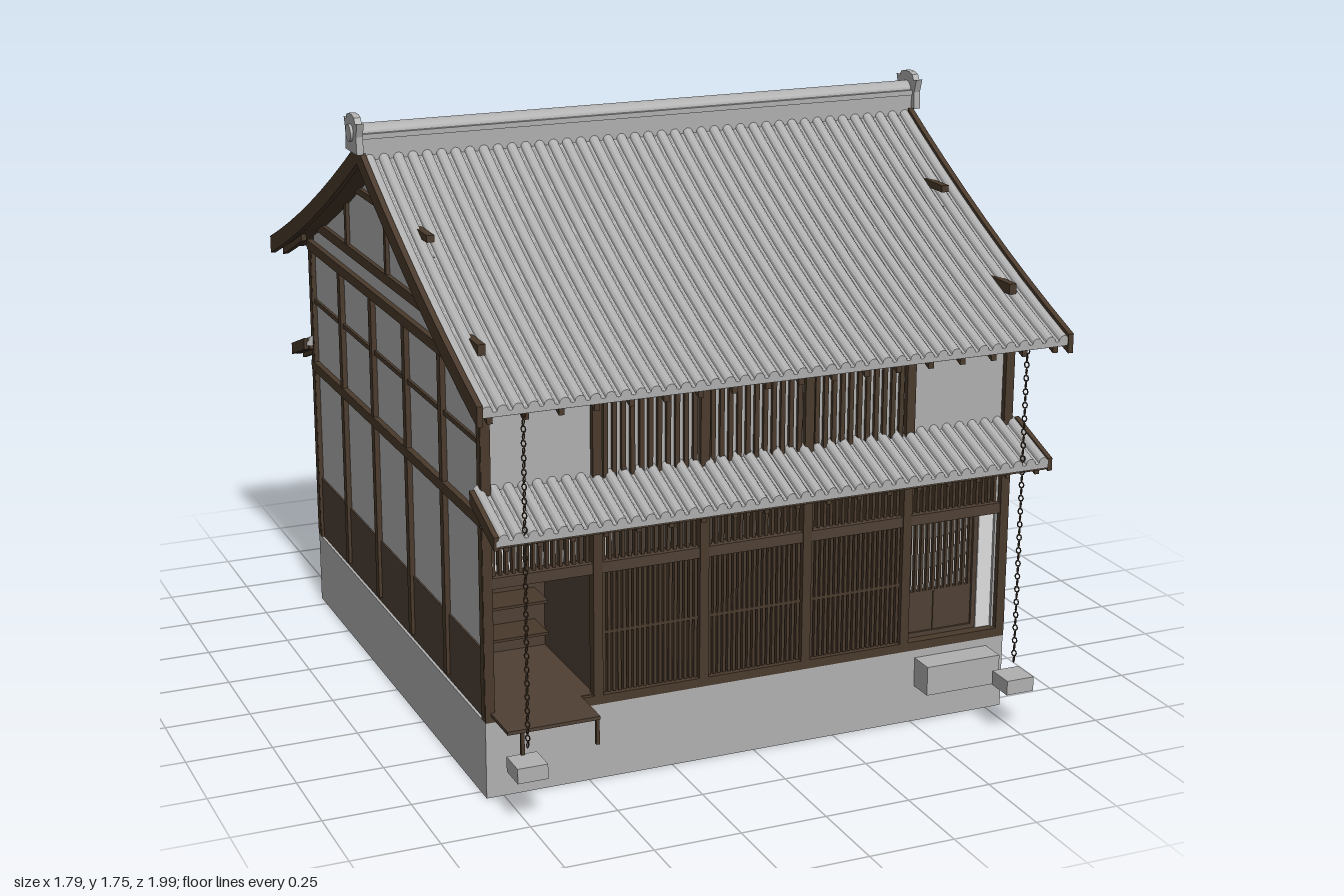
import * as THREE from 'three';

const mat = (name, color) => { const m = new THREE.MeshStandardMaterial({ color }); m.name = name; return m; };

export function createModel() {
  const wood = mat('darkWood', 0x4a3a2c), panel = mat('panelWood', 0x4f4034);
  const plaster = mat('plaster', 0xb0b0b0), stone = mat('stone', 0xb1b1b1);
  const tile = mat('roofTile', 0xafafaf), paper = mat('paper', 0xdedede);

  const root = new THREE.Group(), house = new THREE.Group();
  root.name = 'townhouse'; house.name = 'house';
  house.position.z = -0.005;
  root.add(house);
  const group = (name, parent = house) => { const g = new THREE.Group(); g.name = name; parent.add(g); return g; };
  const add = (parent, name, geo, m) => { const o = new THREE.Mesh(geo, m); o.name = name; parent.add(o); return o; };

  // Box given by its limits
  const box = (p, name, m, x0, x1, y0, y1, z0, z1) => add(p, name,
    new THREE.BoxGeometry(x1 - x0, y1 - y0, z1 - z0).translate((x0 + x1) / 2, (y0 + y1) / 2, (z0 + z1) / 2), m);

  // Evenly spaced vertical and horizontal bars filling an opening
  const bars = (p, name, m, x0, x1, y0, y1, z0, z1, nx, ny, t) => {
    const g = group(name, p);
    for (let i = 0; i < nx; i++) {
      const x = x0 + (x1 - x0) * (i + 0.5) / nx;
      box(g, 'upright', m, x - t / 2, x + t / 2, y0, y1, z0, z1);
    }
    for (let j = 1; j <= ny; j++) {
      const y = y0 + (y1 - y0) * j / (ny + 1);
      box(g, 'rail', m, x0, x1, y - t / 2, y + t / 2, z0, z1);
    }
  };
  const frame = (p, name, m, x0, x1, y0, y1, z0, z1, t) => {
    const g = group(name, p);
    box(g, 'leftStile', m, x0, x0 + t, y0, y1, z0, z1);
    box(g, 'rightStile', m, x1 - t, x1, y0, y1, z0, z1);
    box(g, 'topRail', m, x0, x1, y1 - t, y1, z0, z1);
    box(g, 'bottomRail', m, x0, x1, y0, y0 + t, z0, z1);
  };

  // Cross-section swept along z, following the roof height f(z)
  const strip = (p, name, m, pts, z0, z1, f, steps) => {
    const shape = new THREE.Shape(pts.map(a => new THREE.Vector2(a[0], a[1])));
    const geo = new THREE.ExtrudeGeometry(shape, { depth: z1 - z0, steps, bevelEnabled: false });
    const pos = geo.attributes.position;
    for (let i = 0; i < pos.count; i++) {
      const z = pos.getZ(i) + z0;
      pos.setXYZ(i, pos.getX(i), pos.getY(i) + f(z), z);
    }
    geo.computeVertexNormals();
    return add(p, name, geo, m);
  };
  const rect = (x0, x1, y0, y1) => [[x0, y0], [x1, y0], [x1, y1], [x0, y1]];
  // Row of rounded tile rolls between shallow troughs
  const tileSection = (half, n, base, low, high) => {
    const pts = [[-half, base], [half, base]], w = 2 * half / n;
    for (let i = n - 1; i >= 0; i--) {
      const c = -half + (i + 0.5) * w;
      pts.push([c + w * 0.49, low]);
      for (let k = 0; k <= 6; k++) {
        const a = Math.PI * k / 6;
        pts.push([c + Math.cos(a) * w * 0.36, low + 0.002 + Math.sin(a) * (high - low)]);
      }
      pts.push([c - w * 0.49, low]);
    }
    return pts;
  };

  const grid = [-0.787, -0.472, -0.157, 0.157, 0.472, 0.787];
  const roofY = z => 1.66 - 0.593 * z + 0.105 * z * z;
  const pentY = z => 0.885 - 0.367 * (z - 0.8);

  // Foundation: hollow skirt with a slab on top
  const base = group('foundation');
  for (const s of [-1, 1]) {
    box(base, 'foundationSide', stone, s > 0 ? 0.785 : -0.8, s > 0 ? 0.8 : -0.785, 0, 0.222, -0.8, 0.8);
    box(base, 'foundationEnd', stone, -0.785, 0.785, 0, 0.222, s > 0 ? 0.785 : -0.8, s > 0 ? 0.8 : -0.785);
  }
  box(base, 'floorSlab', stone, -0.79, 0.79, 0.19, 0.222, -0.79, 0.79);

  // Gable side walls, right one built and left one turned round
  for (const turn of [0, Math.PI]) {
    const side = group('gableSide');
    side.rotation.y = turn;
    const g = [[-0.785, 0.222], [0.785, 0.222]];
    for (const z of [0.785, 0.4, 0, -0.4, -0.785]) g.push([z, roofY(Math.abs(z)) - 0.045]);
    const wall = new THREE.ExtrudeGeometry(new THREE.Shape(g.map(a => new THREE.Vector2(...a))), { depth: 0.02, bevelEnabled: false });
    add(side, 'gableWall', wall.rotateY(-Math.PI / 2).translate(0.787, 0, 0), plaster);
    box(side, 'wainscot', panel, 0.78, 0.792, 0.222, 0.42, -0.785, 0.785);
    for (const z of grid) box(side, 'post', wood, 0.775, 0.802, 0.24, 1.18, z - 0.0135, z + 0.0135);
    box(side, 'wallPlate', wood, 0.77, 0.804, 1.17, 1.2, -0.805, 0.805);
    box(side, 'floorBeam', wood, 0.77, 0.804, 0.78, 0.81, -0.8, 0.8);
    box(side, 'tieRail', wood, 0.78, 0.795, 1, 1.014, -0.785, 0.785);
    box(side, 'lowerGableBeam', wood, 0.778, 0.8, 1.25, 1.28, -0.795, 0.795);
    box(side, 'upperGableBeam', wood, 0.778, 0.8, 1.46, 1.48, -0.395, 0.395);
    for (const [z, top] of [[-0.39, 1.42], [0, 1.61], [0.39, 1.42]])
      box(side, 'gableStrut', wood, 0.78, 0.798, 1.27, top, z - 0.01, z + 0.01);
  }

  // Roof slopes and pent roofs; the back half is the front half turned round
  const faces = [0, Math.PI].map((turn, i) => {
    const face = group(i ? 'backSide' : 'frontSide');
    face.rotation.y = turn;
    const roof = group('mainRoofSlope', face);
    strip(roof, 'roofTiles', tile, tileSection(0.865, 41, -0.034, -0.021, -0.006), 0, 0.985, roofY, 8);
    strip(roof, 'roofDeck', wood, rect(-0.86, 0.86, -0.045, -0.033), 0, 0.97, roofY, 8);
    for (const s of [-1, 1])
      strip(roof, 'bargeBoard', wood, rect(s * 0.864 - 0.008, s * 0.864 + 0.008, -0.055, 0), 0, 0.988, roofY, 8);
    for (let k = 0; k < 18; k++) {
      const x = -0.83 + 1.66 * k / 17;
      strip(roof, 'rafter', wood, rect(x - 0.008, x + 0.008, -0.066, -0.044), 0.74, 0.965, roofY, 3);
    }
    const end = i ? 0.94 : 0.977, pent = group('pentRoof', face);
    strip(pent, 'pentTiles', tile, tileSection(0.822, 40, -0.03, -0.016, 0), 0.78, end, pentY, 1);
    strip(pent, 'pentDeck', wood, rect(-0.815, 0.815, -0.042, -0.029), 0.78, end - 0.01, pentY, 1);
    for (const s of [-1, 1])
      strip(pent, 'pentEdge', wood, rect(s * 0.822 - 0.007, s * 0.822 + 0.007, -0.04, -0.003), 0.79, end, pentY, 1);
    for (let k = 0; k < 18; k++) {
      const x = -0.79 + 1.58 * k / 17;
      strip(pent, 'pentRafter', wood, rect(x - 0.007, x + 0.007, -0.056, -0.041), 0.78, end - 0.015, pentY, 1);
    }
    // Timber frame shared by both long walls
    for (const x of grid) box(face, 'post', wood, x - 0.0135, x + 0.0135, 0.24, 1.18, 0.772, 0.803);
    box(face, 'eaveBeam', wood, -0.8, 0.8, 1.12, 1.18, 0.77, 0.798);
    box(face, 'pentBeam', wood, -0.8, 0.8, 0.765, 0.8, 0.77, 0.804);
    box(face, 'sill', wood, -0.8, 0.8, 0.222, 0.248, 0.77, 0.803);
    box(face, 'upperWall', plaster, -0.785, 0.785, 0.78, 1.2, 0.765, 0.785);
    return face;
  });
  const [front, back] = faces;

  // Ridge with shaped end tiles
  const ridge = group('ridge');
  box(ridge, 'ridgeBase', tile, -0.87, 0.87, 1.62, 1.69, -0.034, 0.034);
  box(ridge, 'ridgeCourse', tile, -0.872, 0.872, 1.68, 1.695, -0.04, 0.04);
  add(ridge, 'ridgeCap', new THREE.CylinderGeometry(0.03, 0.03, 1.744, 12).rotateZ(Math.PI / 2).translate(0, 1.69, 0), tile);
  const half = [[0.054, 1.64], [0.05, 1.69], [0.063, 1.73], [0.045, 1.725], [0.035, 1.742], [0.015, 1.748]];
  const endShape = new THREE.Shape([...half, ...half.map(a => [-a[0], a[1]]).reverse()].map(a => new THREE.Vector2(...a)));
  for (const s of [-1, 1]) {
    const geo = new THREE.ExtrudeGeometry(endShape, { depth: 0.02, bevelEnabled: false });
    add(ridge, 'ridgeEndTile', geo.rotateY(-Math.PI / 2).translate(s * 0.876 + 0.01, 0, 0), tile);
    add(ridge, 'ridgeEndDisc', new THREE.CylinderGeometry(0.025, 0.025, 0.01, 16).rotateZ(Math.PI / 2).translate(s * 0.889, 1.695, 0), tile);
  }

  // Front ground floor: transom lattice above a lintel
  box(front, 'transomPaper', paper, -0.785, 0.785, 0.62, 0.78, 0.745, 0.755);
  box(front, 'lintel', panel, -0.79, 0.79, 0.603, 0.634, 0.75, 0.8);
  for (let i = 0; i < 5; i++)
    bars(front, 'transomLattice', wood, grid[i] + 0.014, grid[i + 1] - 0.014, 0.632, 0.768, 0.765, 0.785, 15, 0, 0.009);

  // Three lattice bays, with slatted windows above
  for (let i = 1; i < 4; i++) {
    const x0 = grid[i] + 0.0135, x1 = grid[i + 1] - 0.0135;
    box(front, 'latticePaper', paper, x0, x1, 0.24, 0.61, 0.715, 0.725);
    bars(front, 'innerLattice', wood, x0, x1, 0.25, 0.603, 0.735, 0.755, 17, 1, 0.009);
    bars(front, 'outerLattice', wood, x0, x1, 0.25, 0.603, 0.77, 0.792, 19, 1, 0.009);
    bars(front, 'upperLattice', wood, x0, x1, 0.86, 1.125, 0.78, 0.796, 11, 0, 0.013);
  }

  // Open alcove with shelves and a folding bench
  const alcove = group('alcove', front);
  box(alcove, 'alcoveFloor', panel, -0.785, -0.472, 0.222, 0.25, 0.4, 0.79);
  box(alcove, 'alcoveBackWall', panel, -0.785, -0.46, 0.24, 0.58, 0.39, 0.41);
  box(alcove, 'alcoveUpperBack', paper, -0.785, -0.46, 0.58, 0.62, 0.39, 0.41);
  box(alcove, 'alcoveInnerSide', panel, -0.48, -0.465, 0.222, 0.62, 0.4, 0.775);
  box(alcove, 'alcoveCeiling', panel, -0.785, -0.465, 0.612, 0.622, 0.39, 0.75);
  for (const [y, x] of [[0.426, -0.73], [0.33, -0.76], [0.575, -0.76]])
    box(alcove, 'shelf', wood, x, -0.51, y - 0.004, y + 0.004, 0.41, 0.52);
  const bench = group('bench', front);
  box(bench, 'benchSeat', panel, -0.785, -0.52, 0.24, 0.25, 0.79, 0.935);
  for (const x of [-0.74, -0.525]) box(bench, 'benchLeg', wood, x - 0.005, x + 0.005, 0.165, 0.242, 0.918, 0.928);

  // Entrance: half-lattice sliding door, side strip and step
  const door = group('entrance', front);
  box(door, 'doorPaper', paper, 0.485, 0.72, 0.38, 0.61, 0.74, 0.75);
  bars(door, 'doorLattice', wood, 0.495, 0.71, 0.385, 0.595, 0.752, 0.765, 11, 0, 0.009);
  frame(door, 'doorFrame', panel, 0.485, 0.72, 0.248, 0.606, 0.745, 0.772, 0.014);
  box(door, 'doorPanel', panel, 0.49, 0.715, 0.248, 0.385, 0.745, 0.765);
  box(door, 'doorSplit', wood, 0.582, 0.586, 0.25, 0.38, 0.764, 0.768);
  box(door, 'sideStrip', paper, 0.72, 0.775, 0.23, 0.605, 0.745, 0.776);
  box(front, 'stepStone', stone, 0.51, 0.745, 0.11, 0.197, 0.798, 0.878);

  // Rain chains hanging over drain stones
  for (const s of [-1, 1]) {
    const chain = group('rainChain', front);
    for (let k = 0; k < 48; k++) {
      const link = add(chain, 'chainLink', new THREE.TorusGeometry(0.0065, 0.002, 4, 8), wood);
      link.position.set(s * 0.74, 1.135 - k * 0.0195, 0.965);
      link.scale.y = 1.3;
      link.rotation.y = k % 2 ? Math.PI / 4 : -Math.PI / 4;
    }
    box(front, 'drainStone', stone, s * 0.741 - 0.043, s * 0.741 + 0.043, 0.13, 0.173, 0.92, 1.005);
  }

  // Back wall with paper door, plank door and small upper window
  box(back, 'backWall', plaster, -0.785, 0.785, 0.222, 0.79, 0.765, 0.785);
  box(back, 'upperTieRail', wood, -0.785, 0.785, 1, 1.014, 0.78, 0.793);
  box(back, 'lowerTieRail', wood, -0.785, 0.785, 0.575, 0.592, 0.78, 0.793);
  const shoji = group('paperDoor', back);
  box(shoji, 'paperSheet', paper, -0.455, -0.175, 0.25, 0.6, 0.785, 0.789);
  frame(shoji, 'paperDoorFrame', wood, -0.458, -0.17, 0.248, 0.605, 0.785, 0.8, 0.016);
  bars(shoji, 'paperDoorGrid', wood, -0.445, -0.185, 0.3, 0.595, 0.786, 0.794, 6, 4, 0.006);
  box(shoji, 'kickPanel', panel, -0.45, -0.18, 0.25, 0.3, 0.785, 0.793);
  box(shoji, 'meetingStile', wood, -0.322, -0.306, 0.25, 0.6, 0.785, 0.798);
  const planks = group('plankDoor', back);
  box(planks, 'plankPanel', panel, 0.485, 0.775, 0.245, 0.56, 0.78, 0.793);
  frame(planks, 'plankFrame', wood, 0.485, 0.775, 0.245, 0.565, 0.785, 0.798, 0.01);
  bars(planks, 'plankBattens', wood, 0.49, 0.77, 0.25, 0.56, 0.79, 0.797, 1, 4, 0.007);
  const win = group('upperWindow', back);
  box(win, 'windowPaper', paper, -0.13, 0.13, 0.945, 1.105, 0.79, 0.796);
  frame(win, 'windowFrame', wood, -0.14, 0.14, 0.935, 1.115, 0.785, 0.808, 0.014);
  bars(win, 'windowGrid', wood, -0.13, 0.13, 0.945, 1.105, 0.792, 0.801, 5, 3, 0.006);

  return root;
}
